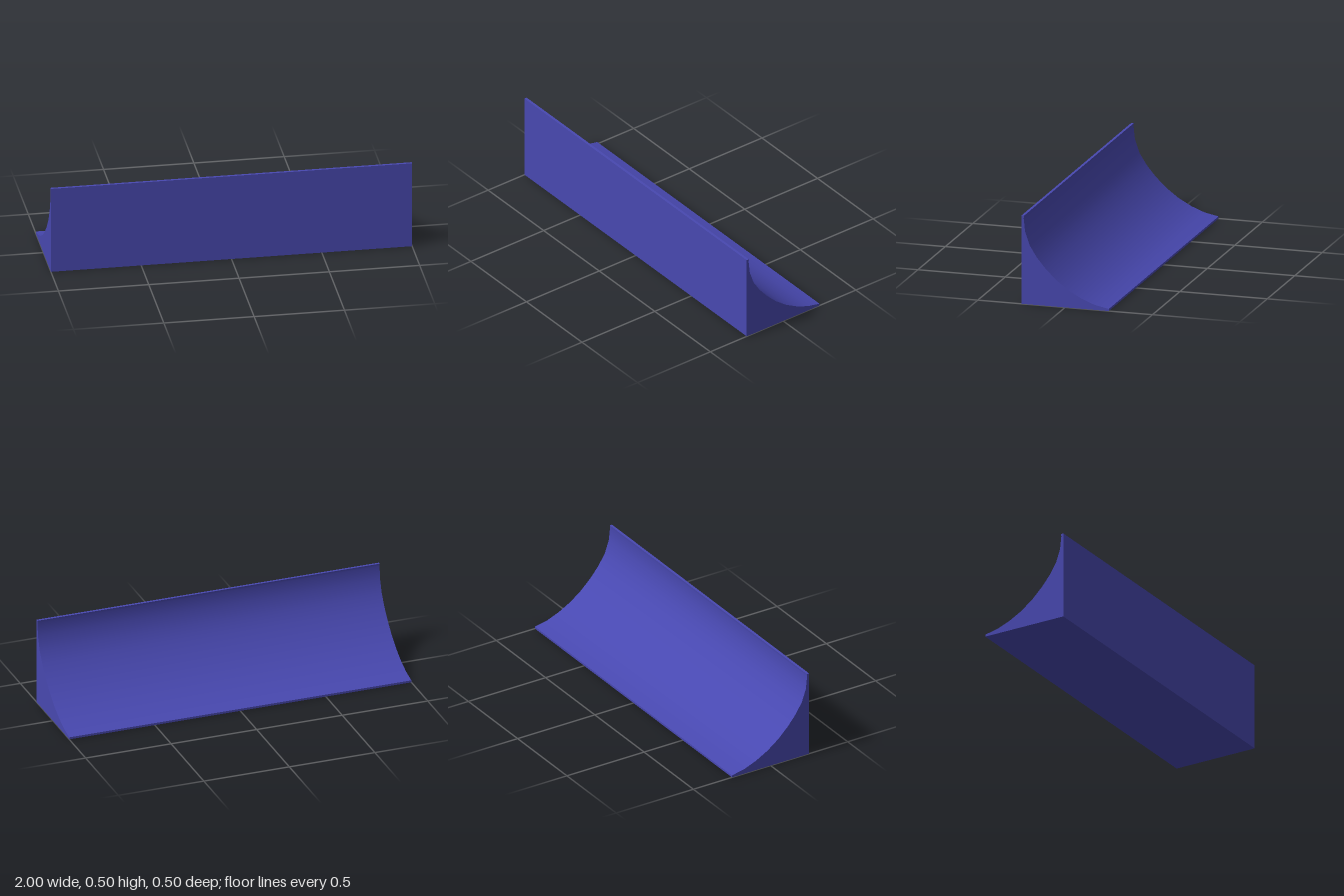
import * as THREE from 'three';
import { toCreasedNormals } from 'three/addons/utils/BufferGeometryUtils.js';

const LENGTH = 2;

// Concave face as [z, y], from the top lip down to the toe
const COVE = [
  [0.235, 0.5], [0.237, 0.485], [0.229, 0.41], [0.203, 0.335], [0.162, 0.27], [0.112, 0.21],
  [0.05, 0.15], [-0.02, 0.098], [-0.095, 0.057], [-0.17, 0.028], [-0.25, 0.012],
];

export function createModel() {
  const group = new THREE.Group();
  group.name = 'curvedRamp';

  // Side profile: flat base and front wall, closed by the cove
  const profile = [[-0.25, 0], [0.25, 0], [0.25, 0.5], ...COVE];
  const shape = new THREE.Shape(profile.map(([z, y]) => new THREE.Vector2(-z, y)));

  // Sweep the profile along x, smooth over the cove and sharp at the corners
  const geometry = new THREE.ExtrudeGeometry(shape, { depth: LENGTH, bevelEnabled: false });
  geometry.translate(0, 0, -LENGTH / 2);
  geometry.rotateY(Math.PI / 2);

  const material = new THREE.MeshStandardMaterial({ color: 0x4848b0 });
  const ramp = new THREE.Mesh(toCreasedNormals(geometry, 0.5), material);
  ramp.name = 'rampBody';
  group.add(ramp);
  return group;
}
